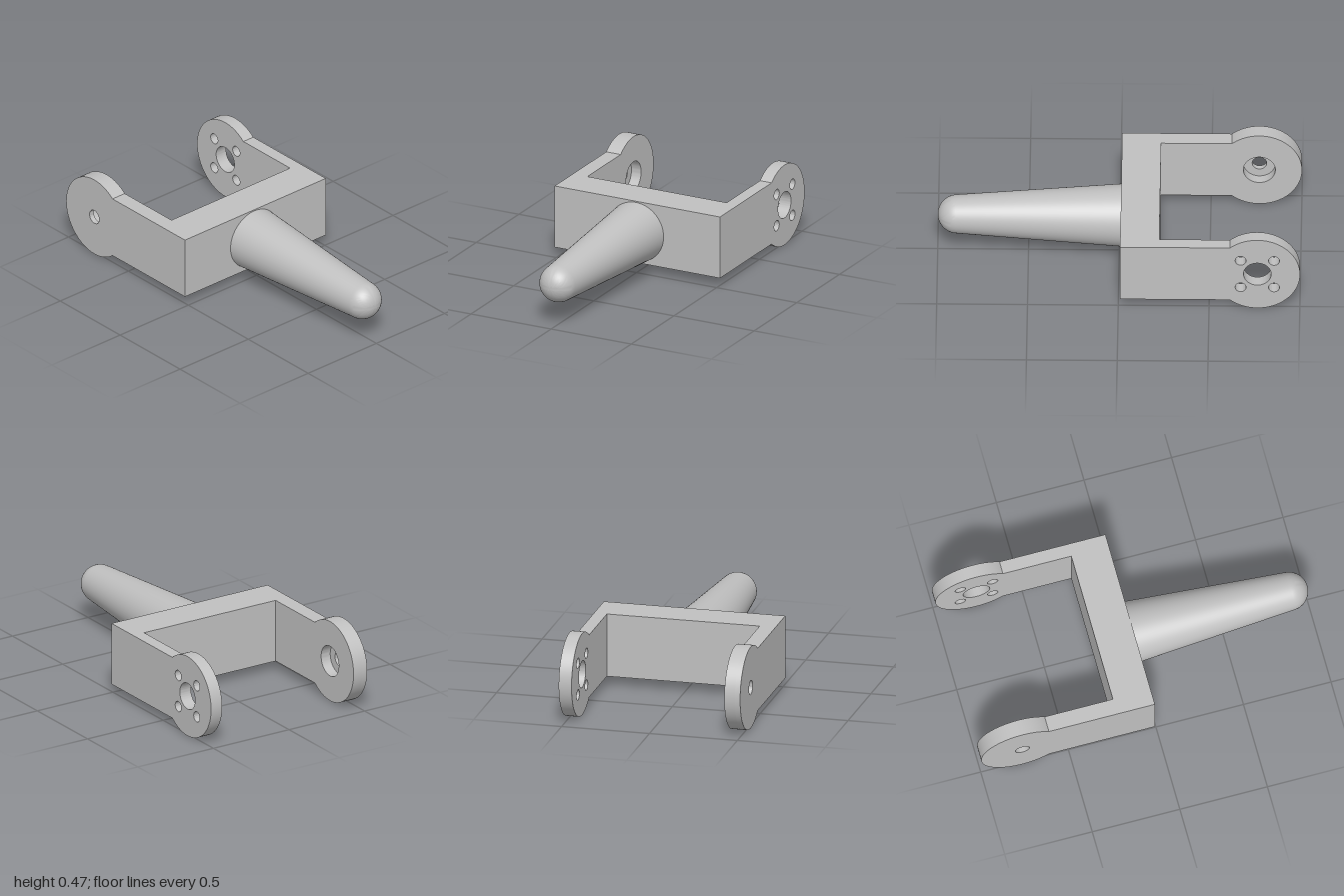
import * as THREE from 'three';
import { toCreasedNormals } from 'three/addons/utils/BufferGeometryUtils.js';

const CY = 0.236;       // height of the centre line
const PIVOT = -0.766;   // x of the pivot holes
const EAR = 0.235;      // radius of the rounded ear
const HALF = 0.18;      // half height of the arms
const BACK = -0.01;     // face that carries the handle

export function createModel() {
  const group = new THREE.Group();
  const metal = new THREE.MeshStandardMaterial({ color: 0xc0c0c0 });
  metal.name = 'lightGrey';

  const add = (name, geometry, x, y, z) => {
    const mesh = new THREE.Mesh(geometry, metal);
    mesh.name = name;
    mesh.position.set(x, y, z);
    group.add(mesh);
    return mesh;
  };

  // Keyhole-shaped arm slab from z0 to z1; holes are [dx, dy, radius] about the pivot
  const armSlab = (name, z0, z1, holes) => {
    const a = Math.asin(HALF / EAR);
    const shape = new THREE.Shape();
    shape.moveTo(BACK - PIVOT, -HALF);
    shape.lineTo(BACK - PIVOT, HALF);
    shape.absarc(0, 0, EAR, a, Math.PI * 2 - a, false);
    shape.closePath();
    for (const [dx, dy, r] of holes) {
      const hole = new THREE.Path();
      hole.absarc(dx, dy, r, 0, Math.PI * 2, true);
      shape.holes.push(hole);
    }
    const geometry = new THREE.ExtrudeGeometry(shape, { depth: z1 - z0, bevelEnabled: false, curveSegments: 40 });
    add(name, toCreasedNormals(geometry, 0.5), PIVOT, CY, z0);
  };

  // Front arm: small through hole with a wide counterbore on the inside
  armSlab('frontArmOuter', 0.486, 0.516, [[0, 0, 0.04]]);
  armSlab('frontArmInner', 0.426, 0.486, [[0, 0, 0.088]]);

  // Back arm: centre hole with four screw holes round it
  const s = 0.092;
  armSlab('backArm', -0.516, -0.443, [
    [0, 0, 0.076], [s, s, 0.03], [-s, s, 0.03], [-s, -s, 0.03], [s, -s, 0.03],
  ]);

  // Bridge joining the arms
  add('bridge', new THREE.BoxGeometry(0.215, HALF * 2, 0.869), BACK - 0.1075, CY, -0.0085);

  // Tapered handle with a domed tip
  const R = 0.107;
  const profile = [new THREE.Vector2(0, 0), new THREE.Vector2(0.173, 0)];
  const tilt = 0.073;
  for (let i = 0; i <= 14; i++) {
    const t = tilt + (Math.PI / 2 - tilt) * i / 14;
    profile.push(new THREE.Vector2(i === 14 ? 0 : R * Math.cos(t), 1 - BACK - R + R * Math.sin(t)));
  }
  const handle = add('handle', toCreasedNormals(new THREE.LatheGeometry(profile, 64), 0.6), BACK, CY, 0.009);
  handle.rotation.z = -Math.PI / 2;

  return group;
}
